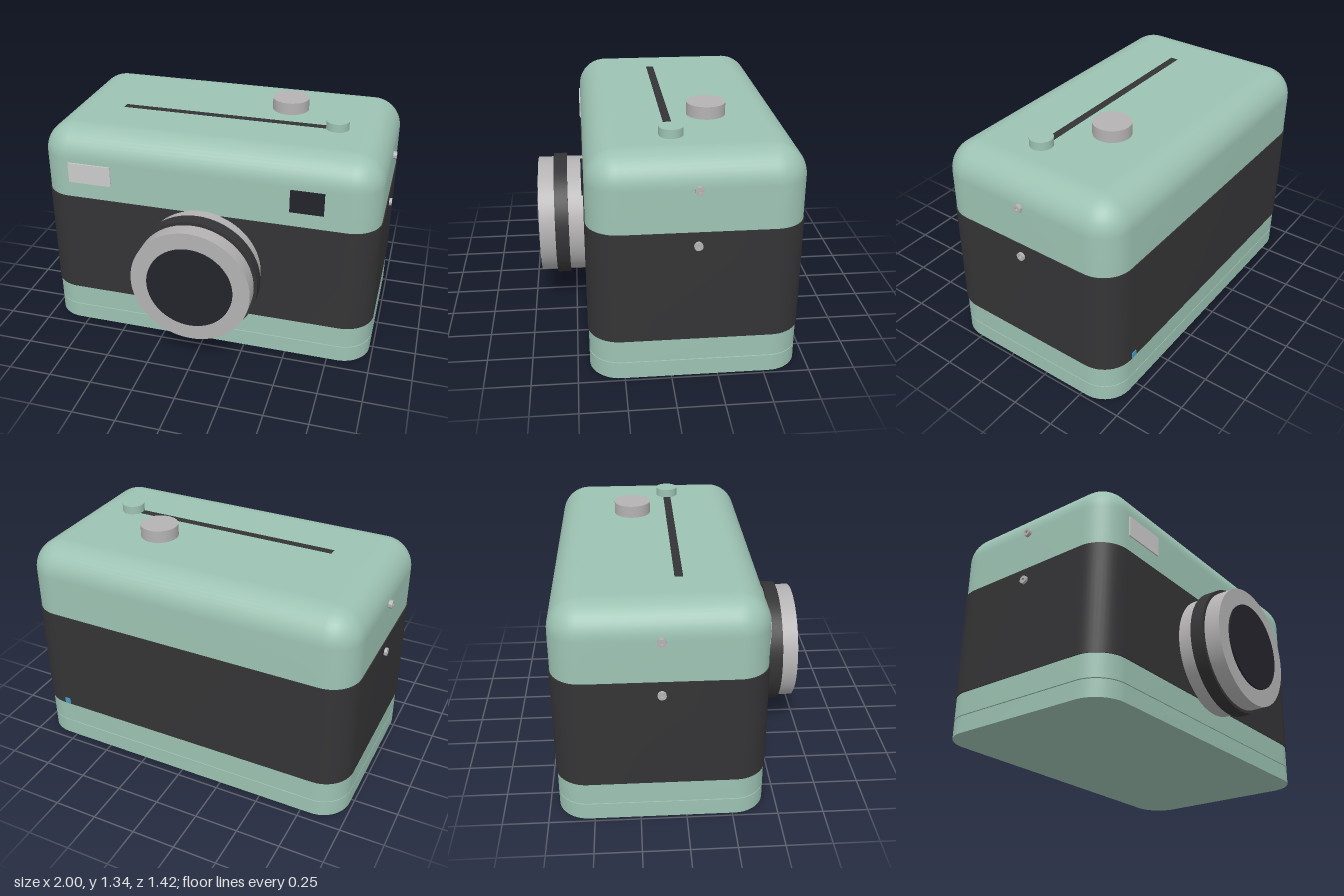
import * as THREE from 'three';
import { toCreasedNormals } from 'three/addons/utils/BufferGeometryUtils.js';

const HALF_X = 0.98, HALF_Z = 0.567, MID_Z = -0.133, CORNER = 0.17;
const TOP = 1.265, FRONT = MID_Z + HALF_Z, BACK = MID_Z - HALF_Z;
const LENS_Y = 0.533;

const paint = (color) => new THREE.MeshStandardMaterial({ color });
const green = paint(0x9cc2b2), dark = paint(0x343436), black = paint(0x23242b);
const grey = paint(0xb4b2b2), pale = paint(0xd8d6d5), blue = paint(0x4a9cc4);

// Rounded rectangle seen from above, shrunk by an inset
function outline(inset, y) {
  const r = Math.max(0.002, CORNER - inset), n = 12, pts = [];
  const cx = HALF_X - inset - r, cz = HALF_Z - inset - r;
  [[1, 1], [-1, 1], [-1, -1], [1, -1]].forEach(([sx, sz], q) => {
    for (let i = 0; i <= n; i++) {
      const a = (q + i / n) * Math.PI / 2;
      pts.push([sx * cx + r * Math.cos(a), y, -sz * cz - r * Math.sin(a)]);
    }
  });
  return pts;
}

// Closed solid through a stack of [inset, y] outlines, bottom to top
function loft(profile) {
  const rings = profile.map(([inset, y]) => outline(inset, y));
  const n = rings[0].length, last = rings.length - 1, pos = [];
  const bottom = [0, profile[0][1], 0], top = [0, profile[last][1], 0];
  for (let i = 0; i < n; i++) {
    const j = (i + 1) % n;
    for (let k = 0; k < last; k++) {
      const a = rings[k], b = rings[k + 1];
      pos.push(...a[i], ...a[j], ...b[j], ...a[i], ...b[j], ...b[i]);
    }
    pos.push(...bottom, ...rings[0][j], ...rings[0][i]);
    pos.push(...top, ...rings[last][i], ...rings[last][j]);
  }
  const geo = new THREE.BufferGeometry();
  geo.setAttribute('position', new THREE.Float32BufferAttribute(pos, 3));
  return toCreasedNormals(geo, 0.5).translate(0, 0, MID_Z);
}

export function createModel() {
  const model = new THREE.Group();
  model.name = 'camera';
  const add = (name, geo, mat, x = 0, y = 0, z = 0, parent = model) => {
    const mesh = new THREE.Mesh(geo, mat);
    mesh.name = name;
    mesh.position.set(x, y, z);
    parent.add(mesh);
    return mesh;
  };
  const box = (name, mat, x0, x1, y0, y1, z0, z1) => add(name,
    new THREE.BoxGeometry(x1 - x0, y1 - y0, z1 - z0), mat,
    (x0 + x1) / 2, (y0 + y1) / 2, (z0 + z1) / 2);

  // Body shell with a rounded top edge
  const shell = [[0, 0.102]];
  for (let i = 0; i <= 12; i++) {
    const t = i / 12 * Math.PI / 2;
    shell.push([CORNER * (1 - Math.cos(t)), TOP - CORNER + CORNER * Math.sin(t)]);
  }
  shell.push([CORNER + 0.01, TOP]);
  add('bodyShell', loft(shell), green);
  add('gripBand', loft([[-0.005, 0.233], [-0.005, 0.86]]), dark);

  // Base plate, held a hair below the shell by four pins
  add('basePlate', loft([[0, 0], [0, 0.097]]), green);
  for (const x of [-0.75, 0.75]) for (const z of [0.153, -0.413])
    add('basePin', new THREE.CylinderGeometry(0.022, 0.016, 0.012, 20), dark, x, 0.099, z);

  // Lens along z
  const lens = new THREE.Group();
  lens.name = 'lens';
  lens.position.y = LENS_Y;
  model.add(lens);
  const disc = (name, mat, r, z0, z1) => add(name,
    new THREE.CylinderGeometry(r, r, z1 - z0, 64).rotateX(Math.PI / 2), mat, 0, 0, (z0 + z1) / 2, lens);
  disc('lensBarrel', grey, 0.344, FRONT - 0.03, 0.697);
  disc('focusRing', dark, 0.363, 0.527, 0.605);
  disc('lensGlass', black, 0.247, 0.68, 0.707);

  // Front windows
  box('flash', pale, -0.795, -0.54, 0.955, 1.075, FRONT - 0.03, FRONT + 0.008);
  box('viewfinder', black, 0.493, 0.68, 0.95, 1.08, FRONT - 0.03, FRONT + 0.012);

  // Top controls
  box('sliderSlot', dark, -0.61, 0.66, TOP - 0.02, TOP + 0.001, -0.045, 0);
  add('sliderKnob', new THREE.CylinderGeometry(0.065, 0.065, 0.06, 40), green, 0.663, TOP + 0.018, -0.022);
  add('shutterButton', new THREE.CylinderGeometry(0.107, 0.107, 0.09, 48), grey, 0.35, TOP + 0.025, -0.247);

  // Side screws with a small socket
  const screwProfile = [[0.023, -0.03], [0.023, 0.02], [0.009, 0.02], [0.009, 0.008], [0, 0.008]]
    .map(([r, y]) => new THREE.Vector2(r, y));
  const screw = toCreasedNormals(new THREE.LatheGeometry(screwProfile, 24), 0.6);
  for (const side of [-1, 1]) for (const y of [0.787, 1.09])
    add('sideScrew', screw, grey, side * HALF_X, y, -0.13).rotation.z = -side * Math.PI / 2;

  // Indicator on the back
  box('indicator', blue, 0.765, 0.8, 0.238, 0.273, BACK - 0.009, BACK + 0.02);

  return model;
}
